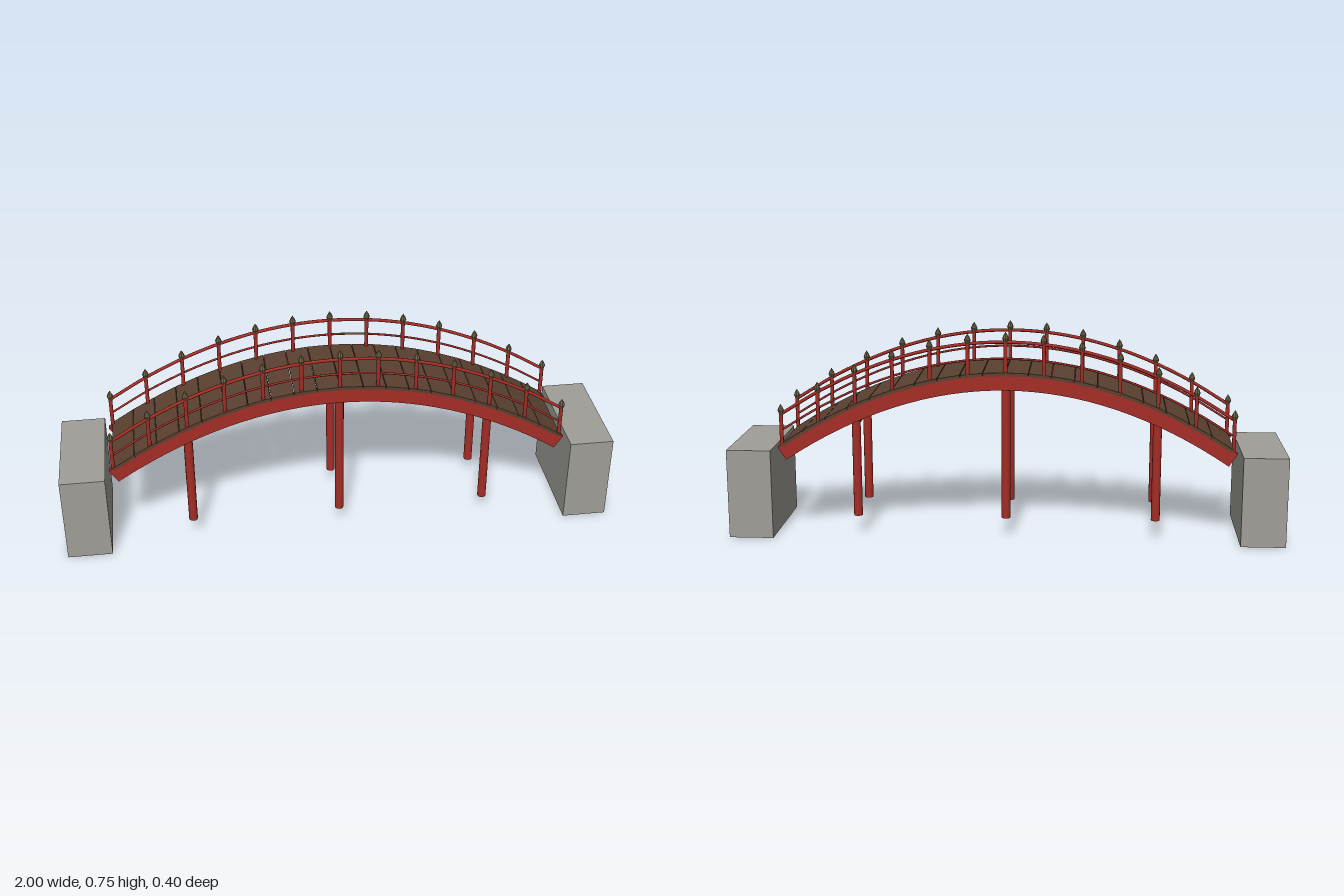
import * as THREE from 'three';

const HALF = 0.81, DROP = 0.27, POST_Z = 0.138;
const paint = (name, color, side = THREE.FrontSide, flatShading = false) =>
  new THREE.MeshStandardMaterial({ name, color, side, flatShading });

// Height lost by the arch at x, and a point offset along the arch normal
const sag = (x) => DROP * (x / HALF) ** 2;
function archPoint(x, crown, offset = 0) {
  const slope = -2 * DROP * x / HALF ** 2;
  const n = Math.hypot(1, slope);
  return new THREE.Vector2(x - slope / n * offset, crown - sag(x) + offset / n);
}

export function createModel() {
  const model = new THREE.Group();
  model.name = 'archedFootbridge';
  const red = paint('redPaint', 0xa52d26);
  const wood = paint('brownWood', 0x5b4131);
  const bronze = paint('agedBronze', 0x6e6345, THREE.FrontSide, true);
  const stone = paint('greyStone', 0x9f9e98, THREE.DoubleSide);

  const add = (name, geometry, material, x = 0, y = 0, z = 0) => {
    const mesh = new THREE.Mesh(geometry, material);
    mesh.name = name;
    mesh.position.set(x, y, z);
    model.add(mesh);
    return mesh;
  };

  // Stone abutments, hollow and open underneath
  const block = new THREE.BoxGeometry(0.16, 0.325, 0.404);
  const faces = Array.from(block.index.array);
  faces.splice(18, 6);
  block.setIndex(faces);
  block.clearGroups();
  for (const s of [-1, 1]) add('abutment', block, stone, s * 0.92, 0.1625, 0);

  // Curved side beams with ends cut square to the arch
  const steps = 32;
  const upper = [], lower = [];
  for (let i = 0; i <= steps; i++) {
    const x = -HALF + 2 * HALF * i / steps;
    upper.push(archPoint(x, 0.573, 0.028));
    lower.push(archPoint(x, 0.573, -0.028));
  }
  const beam = new THREE.ExtrudeGeometry(new THREE.Shape([...lower, ...upper.reverse()]),
    { depth: 0.02, bevelEnabled: false });
  beam.translate(0, 0, -0.01);
  for (const s of [-1, 1]) add('sideBeam', beam, red, 0, 0, s * 0.137);

  // Deck planks laid along the arch with narrow joints
  const planks = 20;
  for (let i = 0; i < planks; i++) {
    const a = archPoint(-HALF + 2 * HALF * i / planks, 0.603);
    const b = archPoint(-HALF + 2 * HALF * (i + 1) / planks, 0.603);
    const length = a.distanceTo(b) - 0.002;
    const plank = add('deckPlank', new THREE.BoxGeometry(length, 0.012, 0.296), wood,
      (a.x + b.x) / 2, (a.y + b.y) / 2, 0);
    plank.rotation.z = Math.atan2(b.y - a.y, b.x - a.x);
  }

  // Railing posts with pointed caps
  const post = new THREE.CylinderGeometry(0.007, 0.007, 0.125, 10);
  const cap = new THREE.LatheGeometry([[0, 0], [0.007, 0], [0.012, 0.013], [0.008, 0.024], [0, 0.037]]
    .map(([r, y]) => new THREE.Vector2(r, y)), 8);
  for (const s of [-1, 1]) {
    for (let i = -6; i <= 6; i++) {
      const x = i * HALF / 6;
      add('railingPost', post, red, x, 0.6625 - sag(x), s * POST_Z);
      add('postCap', cap, bronze, x, 0.717 - sag(x), s * POST_Z);
    }
    // Top and middle rails follow the arch
    for (const [name, crown, radius] of [['topRail', 0.717, 0.006], ['middleRail', 0.658, 0.004]]) {
      const points = [];
      for (let i = 0; i <= 12; i++) {
        const p = archPoint(-HALF + 2 * HALF * i / 12, crown);
        points.push(new THREE.Vector3(p.x, p.y, s * POST_Z));
      }
      add(name, new THREE.TubeGeometry(new THREE.CatmullRomCurve3(points), 48, radius, 8), red);
    }
  }

  // Pile supports joined by a cross beam under the side beams
  const crossBeam = new THREE.CylinderGeometry(0.012, 0.012, 0.25, 12).rotateX(Math.PI / 2);
  for (const x of [-0.54, 0, 0.54]) {
    const top = 0.55 - sag(x);
    const pile = new THREE.CylinderGeometry(0.016, 0.016, top - 0.07, 12);
    for (const s of [-1, 1]) add('pile', pile, red, x, (top + 0.07) / 2, s * 0.122);
    add('crossBeam', crossBeam, red, x, top - 0.014, 0);
  }
  return model;
}
